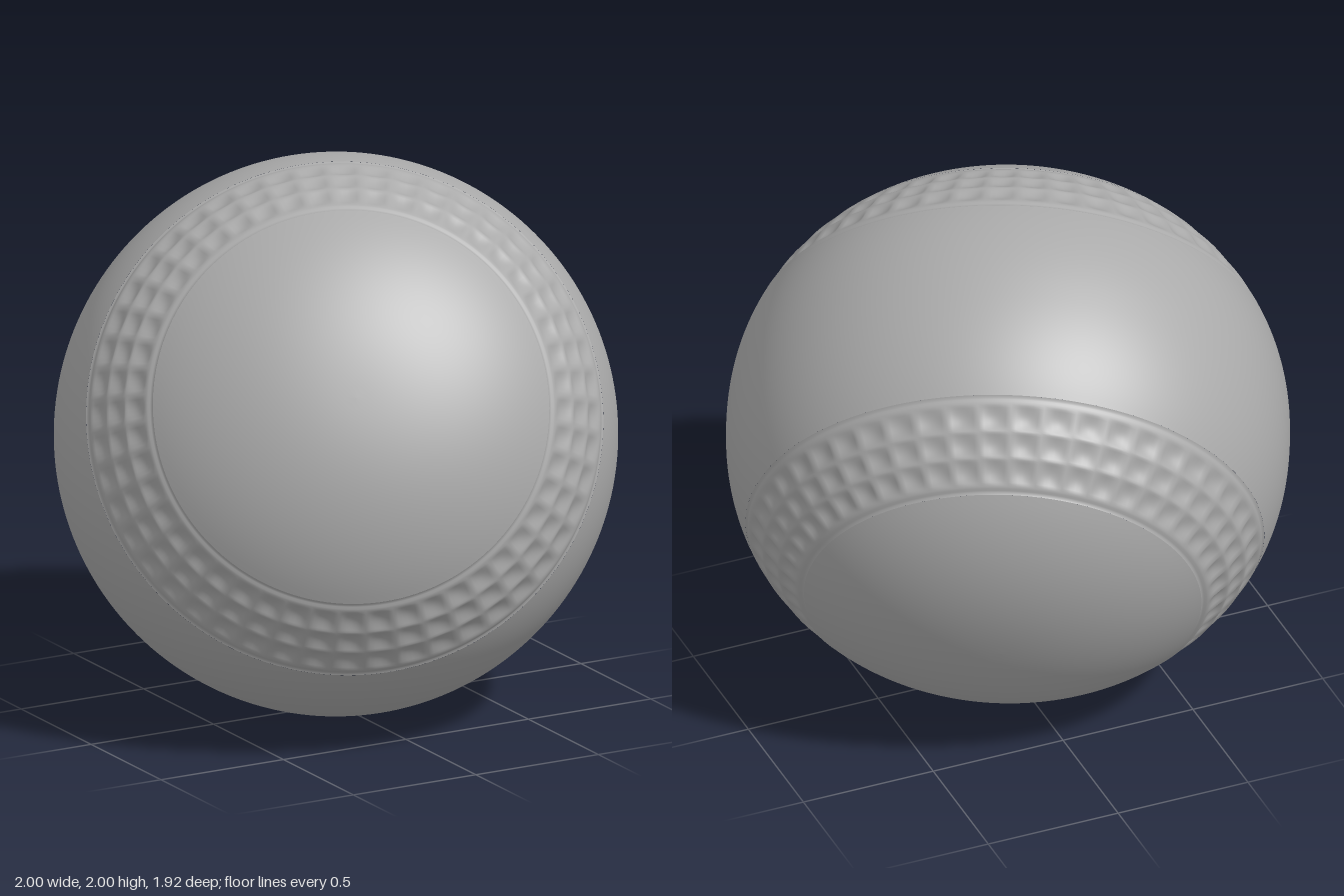
import * as THREE from 'three';
import { mergeVertices } from 'three/addons/utils/BufferGeometryUtils.js';

const POLAR = 0.91;      // half thickness along the axis, the equator radius is 1
const POWER = 2 / 2.15;  // slightly squarer than an ellipse
const INNER = 0.757;     // profile angles, from the axis, where the grip band starts and ends
const OUTER = 1.154;
const CELLS = 48;        // dimples around the band
const ROWS = 3;

// Point of the bowl's profile at angle t from the axis
function profilePoint(t) {
  const c = Math.cos(t);
  return new THREE.Vector2(
    Math.max(0, Math.sin(t)) ** POWER,
    POLAR * Math.sign(c) * Math.abs(c) ** POWER
  );
}

// Lathed zone of the bowl between two profile angles
function zone(from, to, steps, segments) {
  const points = [];
  for (let i = 0; i <= steps; i++) points.push(profilePoint(to + (from - to) * i / steps));
  return new THREE.LatheGeometry(points, segments);
}

// Pressed depth of the grip band: v across the band, u in cells around it
function gripDepth(u, v) {
  const groove = (at) => 0.005 * Math.exp(-(((v - at) / 0.018) ** 2));
  let depth = groove(0.03) + groove(0.97);
  const w = (v - 0.1) / 0.8;
  if (w > 0 && w < 1) depth += 0.014 * Math.abs(Math.sin(Math.PI * u) * Math.sin(Math.PI * w * ROWS));
  return depth;
}

// Band of square dimples between two fine grooves
function gripBandGeometry() {
  const steps = 48, segments = CELLS * 6;
  const lathe = zone(INNER, OUTER, steps, segments);
  const pos = lathe.attributes.position;
  const p = new THREE.Vector3();
  for (let i = 0; i < pos.count; i++) {
    const ring = Math.floor(i / (steps + 1)), row = i % (steps + 1);
    p.fromBufferAttribute(pos, i).multiplyScalar(1 - gripDepth(ring * CELLS / segments, row / steps));
    pos.setXYZ(i, p.x, p.y, p.z);
  }
  // Weld the seam so that the shading runs all the way round
  lathe.deleteAttribute('uv');
  lathe.deleteAttribute('normal');
  const welded = mergeVertices(lathe, 1e-5);
  welded.computeVertexNormals();
  return welded;
}

export function createModel() {
  const grey = new THREE.MeshStandardMaterial({ color: 0xaaaaaa });
  grey.name = 'grey';

  const model = new THREE.Group();
  model.name = 'bowl';
  const ball = new THREE.Group();
  ball.name = 'tiltedBowl';
  model.add(ball);

  const add = (parent, name, geometry) => {
    const mesh = new THREE.Mesh(geometry, grey);
    mesh.name = name;
    parent.add(mesh);
  };

  // Smooth running surface round the equator
  add(ball, 'runningSurface', zone(OUTER, Math.PI - OUTER, 32, 192));

  // Domed face and dimpled grip band on both sides
  const face = zone(0, INNER, 24, 192);
  const band = gripBandGeometry();
  for (const side of ['front', 'back']) {
    const half = new THREE.Group();
    half.name = side + 'Side';
    if (side === 'back') half.rotation.x = Math.PI;
    add(half, side + 'Face', face);
    add(half, side + 'GripBand', band);
    ball.add(half);
  }

  // The axis leans up and to the right of the front
  const axis = new THREE.Vector3(-0.38, 0.42, 0.825).normalize();
  ball.quaternion.setFromUnitVectors(new THREE.Vector3(0, 1, 0), axis);
  ball.position.y = 1;
  return model;
}
